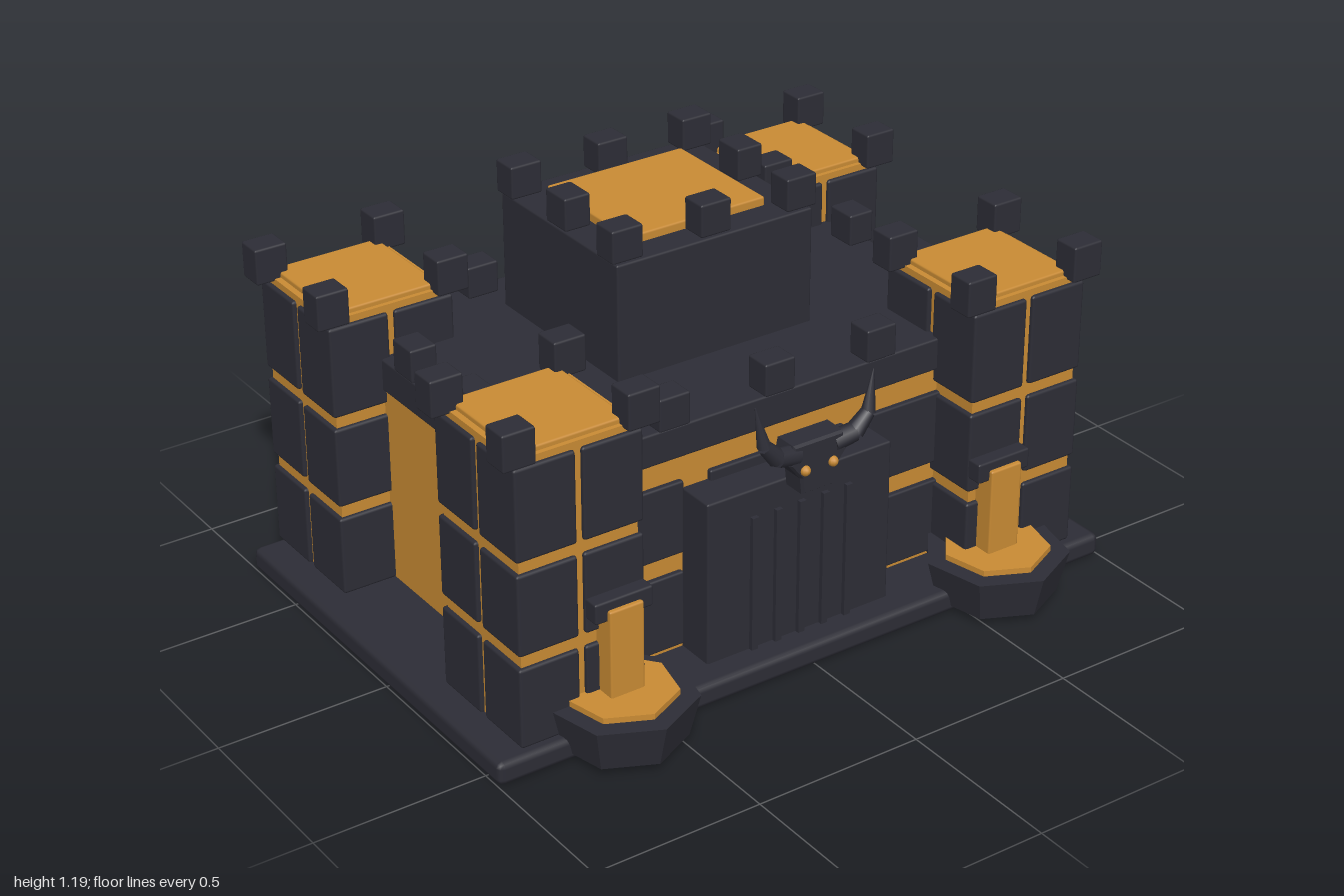
import * as THREE from 'three';
import { RoundedBoxGeometry } from 'three/addons/geometries/RoundedBoxGeometry.js';

export function createModel() {
  const model = new THREE.Group();
  model.name = 'fortress';
  const stone = new THREE.MeshStandardMaterial({ color: 0x2d2d36 });
  stone.name = 'dark stone';
  const gold = new THREE.MeshStandardMaterial({ color: 0xc98b34 });
  gold.name = 'gold';

  const add = (parent, name, geometry, material) => {
    const mesh = new THREE.Mesh(geometry, material);
    mesh.name = name;
    parent.add(mesh);
    return mesh;
  };
  // Slightly bevelled box given by its min and max on each axis
  const block = (parent, name, material, [x0, x1], [y0, y1], [z0, z1], bevel = 0.006) => {
    const geometry = bevel
      ? new RoundedBoxGeometry(x1 - x0, y1 - y0, z1 - z0, 1, bevel)
      : new THREE.BoxGeometry(x1 - x0, y1 - y0, z1 - z0);
    const mesh = add(parent, name, geometry, material);
    mesh.position.set((x0 + x1) / 2, (y0 + y1) / 2, (z0 + z1) / 2);
    return mesh;
  };
  const merlon = (parent, x, y, z, turned = false, h = 0.095) => {
    const w = turned ? 0.08 : 0.096, d = turned ? 0.096 : 0.08;
    block(parent, 'merlon', stone, [x - w / 2, x + w / 2], [y, y + h], [z - d / 2, z + d / 2]);
  };

  // Base slab
  block(model, 'baseSlab', stone, [-1, 1], [0, 0.068], [-0.74, 0.57], 0.018);

  // Hall body, roof deck and wall panels
  const hall = new THREE.Group();
  hall.name = 'hall';
  model.add(hall);
  block(hall, 'hallBody', gold, [-0.75, 0.75], [0.06, 0.66], [-0.6, 0.372], 0);
  block(hall, 'roofDeck', stone, [-0.76, 0.76], [0.655, 0.75], [-0.612, 0.385]);
  for (const [x0, x1] of [[-0.7, -0.305], [-0.22, 0.22], [0.305, 0.7]]) {
    for (const rows of [[0.085, 0.31], [0.368, 0.585]]) {
      block(hall, 'frontPanel', stone, [x0, x1], rows, [0.35, 0.388]);
      block(hall, 'backPanel', stone, [x0, x1], rows, [-0.615, -0.58]);
    }
  }
  for (const x of [-0.335, 0, 0.335]) {
    merlon(hall, x, 0.75, 0.352);
    merlon(hall, x, 0.75, -0.58);
  }
  for (const x of [-0.725, 0.725]) {
    for (const z of [0.033, -0.253]) merlon(hall, x, 0.75, z, true);
  }

  // Central keep
  const keep = new THREE.Group();
  keep.name = 'keep';
  model.add(keep);
  block(keep, 'keepBody', stone, [-0.315, 0.315], [0.74, 1.09], [-0.465, 0.1]);
  block(keep, 'keepRoof', gold, [-0.22, 0.22], [1.08, 1.115], [-0.383, 0.013]);
  for (const x of [-0.28, 0, 0.28]) {
    merlon(keep, x, 1.095, 0.06);
    merlon(keep, x, 1.095, -0.428);
    if (x) merlon(keep, x, 1.095, -0.185, true);
  }

  // Corner towers: gold core clad in dark blocks
  for (const x of [-0.722, 0.722]) {
    for (const z of [0.348, -0.562]) {
      const tower = new THREE.Group();
      tower.name = 'tower';
      tower.position.set(x, 0, z);
      model.add(tower);
      block(tower, 'towerCore', gold, [-0.178, 0.178], [0.06, 0.9], [-0.178, 0.178], 0);
      block(tower, 'towerRoof', gold, [-0.16, 0.16], [0.89, 0.915], [-0.165, 0.165]);
      for (const sx of [-1, 1]) {
        for (const sz of [-1, 1]) {
          for (const rows of [[0.066, 0.302], [0.34, 0.578], [0.614, 0.88]]) {
            const side = (s) => (s > 0 ? [0.01, 0.19] : [-0.19, -0.01]);
            block(tower, 'towerBlock', stone, side(sx), rows, side(sz), 0.008);
          }
          merlon(tower, sx * 0.183, 0.892, sz * 0.168, false, 0.105);
        }
      }
    }
  }

  // Gate with vertical bars
  const gate = new THREE.Group();
  gate.name = 'gate';
  model.add(gate);
  block(gate, 'gateDoor', stone, [-0.3, 0.3], [0.06, 0.555], [0.36, 0.487]);
  for (let i = -2; i <= 2; i++) {
    const x = i * 0.077;
    block(gate, 'gateBar', stone, [x - 0.01, x + 0.01], [0.066, 0.475], [0.47, 0.5], 0);
  }

  // Horned skull above the gate
  const skull = new THREE.Group();
  skull.name = 'skull';
  model.add(skull);
  const face = new THREE.Shape([
    [-0.045, 0.545], [0.045, 0.545], [0.05, 0.59], [0.085, 0.635], [0.075, 0.685],
    [-0.075, 0.685], [-0.085, 0.635], [-0.05, 0.59],
  ].map(([x, y]) => new THREE.Vector2(x, y)));
  const head = add(skull, 'skullHead', new THREE.ExtrudeGeometry(face, {
    depth: 0.065, bevelThickness: 0.008, bevelSize: 0.006, bevelSegments: 1,
  }), stone);
  head.position.z = 0.49;
  const up = new THREE.Vector3(0, 1, 0);
  for (const s of [-1, 1]) {
    // Tapering horn pieces from root to tip
    const path = [[0.06, 0.655, 0.54, 0.03], [0.125, 0.668, 0.548, 0.027],
      [0.168, 0.715, 0.55, 0.02], [0.19, 0.83, 0.54, 0.002]];
    for (let i = 0; i < 3; i++) {
      const [ax, ay, az, ar] = path[i], [bx, by, bz, br] = path[i + 1];
      const a = new THREE.Vector3(s * ax, ay, az), b = new THREE.Vector3(s * bx, by, bz);
      const horn = add(skull, 'horn', new THREE.CylinderGeometry(br, ar, a.distanceTo(b), 8), stone);
      horn.position.copy(a).lerp(b, 0.5);
      horn.quaternion.setFromUnitVectors(up, b.sub(a).normalize());
    }
    const eye = add(skull, 'eye', new THREE.SphereGeometry(0.015, 10, 6), gold);
    eye.position.set(s * 0.045, 0.612, 0.564);
  }

  // Seven-sided basins fed by a golden stream from a spout
  for (const x of [-0.622, 0.622]) {
    const fountain = new THREE.Group();
    fountain.name = 'fountain';
    fountain.position.set(x, 0, 0.56);
    model.add(fountain);
    const prism = (name, r1, r0, y0, y1, material) => {
      const g = new THREE.CylinderGeometry(r1, r0, y1 - y0, 7).toNonIndexed();
      g.computeVertexNormals();
      add(fountain, name, g, material).position.y = (y0 + y1) / 2;
    };
    prism('basin', 0.206, 0.175, 0.02, 0.143, stone);
    prism('goldPool', 0.152, 0.152, 0.1, 0.16, gold);
    block(fountain, 'spout', stone, [-0.088, 0.088], [0.385, 0.445], [-0.06, 0.02]);
    block(fountain, 'goldStream', gold, [-0.052, 0.052], [0.14, 0.418], [-0.06, 0.033]);
  }

  return model;
}
